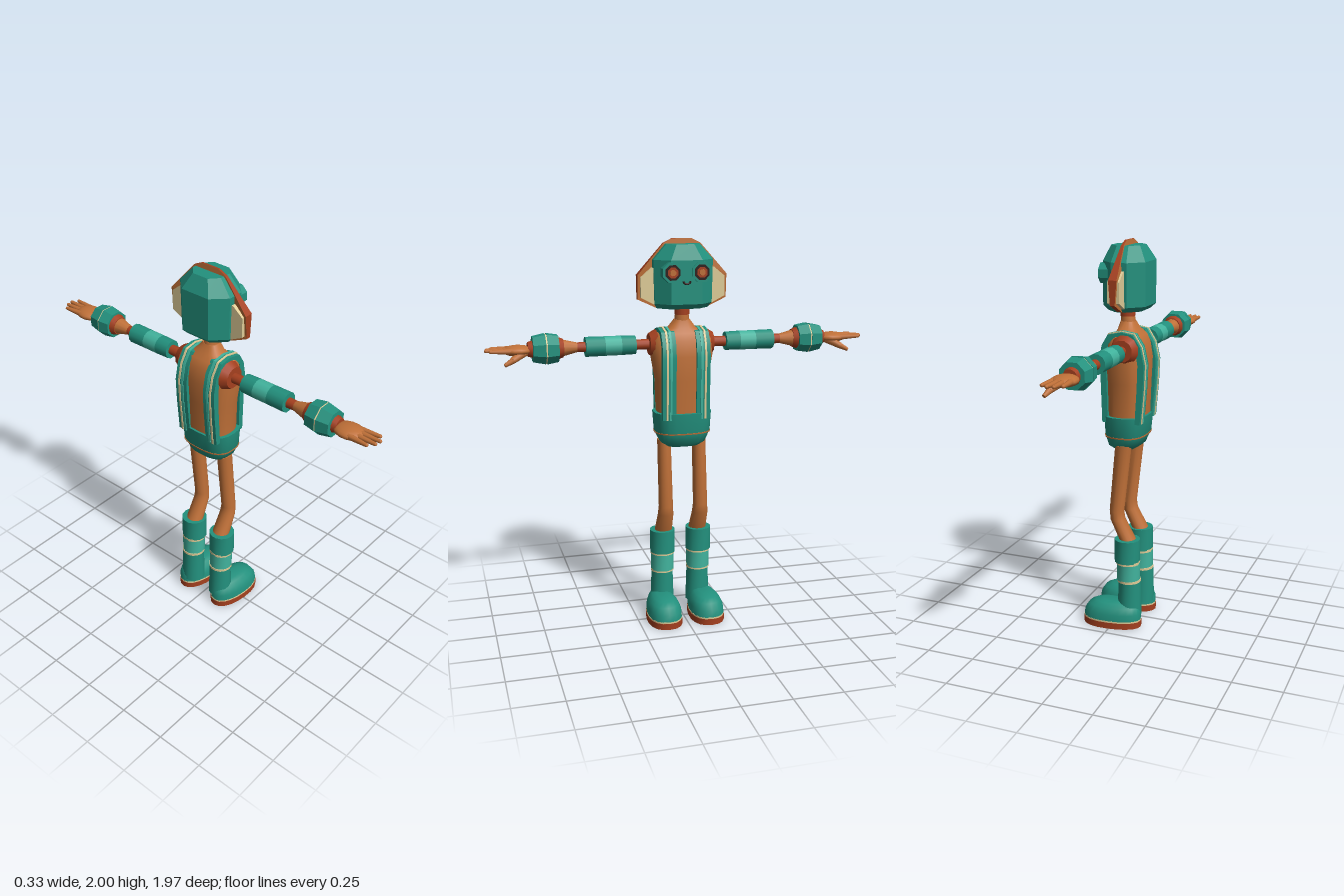
import * as THREE from 'three';
import { toCreasedNormals } from 'three/addons/utils/BufferGeometryUtils.js';

const mat = (name, color) => Object.assign(new THREE.MeshStandardMaterial({ color }), { name });
const V = (x, y, z) => new THREE.Vector3(x, y, z);

// Horizontal superellipse ring; taper widens its front end
function ring(y, cz, rx, rz, { cx = 0, n = 16, p = 2, taper = 0 } = {}) {
  const pts = [];
  for (let i = 0; i < n; i++) {
    const a = (i / n) * Math.PI * 2, c = Math.cos(a), s = Math.sin(a);
    const x = Math.sign(c) * Math.abs(c) ** (2 / p), z = Math.sign(s) * Math.abs(s) ** (2 / p);
    pts.push(V(cx + x * rx * (1 + taper * z), y, cz + z * rz));
  }
  return pts;
}

// Capped skin over a stack of rings, bottom to top
function loft(rings, crease = 0.7) {
  const n = rings[0].length, pos = [], idx = [];
  rings.flat().forEach((v) => pos.push(v.x, v.y, v.z));
  for (let r = 0; r < rings.length - 1; r++) {
    for (let i = 0; i < n; i++) {
      const a = r * n + i, b = r * n + ((i + 1) % n);
      idx.push(a, a + n, b, b, a + n, b + n);
    }
  }
  const last = (rings.length - 1) * n;
  for (let i = 1; i < n - 1; i++) idx.push(0, i, i + 1, last, last + i + 1, last + i);
  const g = new THREE.BufferGeometry();
  g.setAttribute('position', new THREE.Float32BufferAttribute(pos, 3));
  g.setIndex(idx);
  return toCreasedNormals(g, crease);
}

// Tapered rod between two points
function rod(a, b, ra, rb = ra, n = 12) {
  const d = b.clone().sub(a);
  const g = new THREE.CylinderGeometry(rb, ra, d.length(), n);
  g.rotateY(Math.PI / n);
  g.applyQuaternion(new THREE.Quaternion().setFromUnitVectors(V(0, 1, 0), d.clone().normalize()));
  g.translate(...a.clone().add(b).multiplyScalar(0.5).toArray());
  return n <= 8 ? toCreasedNormals(g, 0.1) : g;
}

// Symmetric outline from its right half, listed bottom to top
const outline = (half) => new THREE.Shape([...half, ...half.map(([x, y]) => [-x, y]).reverse()].map((p) => new THREE.Vector2(...p)));

export function createModel() {
  const teal = mat('teal', 0x23917e), mint = mat('light teal', 0x42b49e), skin = mat('copper', 0xbf7038);
  const red = mat('rust red', 0xa5401f), cream = mat('cream', 0xe0cd98), dark = mat('dark brown', 0x2b1d1a);
  const model = new THREE.Group(), body = new THREE.Group();
  model.name = 'figure';
  body.name = 'body';
  body.rotation.y = Math.PI / 2; // built facing +z, turned to face +x
  model.add(body);
  const add = (name, geo, material) => {
    const m = new THREE.Mesh(geo, material);
    m.name = name;
    body.add(m);
    return m;
  };

  // Torso, neck and shorts
  const T = { p: 2.7, n: 24 };
  add('torso', loft([
    ring(1.08, -0.04, 0.13, 0.095, T), ring(1.3, -0.042, 0.137, 0.1, T), ring(1.42, -0.043, 0.158, 0.104, T),
    ring(1.5, -0.043, 0.155, 0.09, T), ring(1.535, -0.042, 0.13, 0.072, T), ring(1.56, -0.038, 0.07, 0.052, T),
    ring(1.6, -0.033, 0.04, 0.036, T),
  ]), skin);
  add('neck', rod(V(0, 1.56, -0.035), V(0, 1.64, -0.03), 0.042, 0.033), skin);
  add('neckRing', rod(V(0, 1.625, -0.03), V(0, 1.69, -0.03), 0.038), red);
  add('shorts', loft([
    ring(0.95, -0.027, 0.085, 0.055, T), ring(0.972, -0.03, 0.118, 0.085, T), ring(1.025, -0.035, 0.143, 0.103, T),
    ring(1.13, -0.037, 0.15, 0.111, T),
  ]), teal);
  add('shortsSeam', loft([ring(1.021, -0.035, 0.145, 0.105, T), ring(1.028, -0.035, 0.146, 0.106, T)]), skin);

  // Braces: a hoop over each shoulder, front to back
  const path = [[0.06, 1.1], [0.067, 1.3], [0.074, 1.42], [0.062, 1.49], [0.03, 1.545], [-0.04, 1.56],
    [-0.1, 1.55], [-0.14, 1.49], [-0.16, 1.4], [-0.155, 1.28], [-0.14, 1.1]];
  const hoop = (grow, x, width) => {
    const at = (k, d) => path.map(([f, y]) => new THREE.Vector2(-0.043 + (f + 0.043) * k + Math.sign(f + 0.043) * d, y + (y > 1.5 ? d : 0)));
    const inner = at(0.72, 0).map((v) => (v.y > 1.5 ? v.setY(v.y - 0.03) : v)).reverse();
    const g = new THREE.ExtrudeGeometry(new THREE.Shape([...at(1, grow), ...inner]), { depth: width, bevelEnabled: false });
    g.rotateY(-Math.PI / 2);
    g.translate(x + width / 2, 0, 0);
    return toCreasedNormals(g, 0.6);
  };

  // Head: two-layer chamfered octagonal helmet
  const octagon = (y, wx, nx, f, b, c) => [[wx, b + c], [wx, f - c], [nx, f], [-nx, f], [-wx, f - c], [-wx, b + c], [-nx, b], [nx, b]]
    .map(([x, z]) => V(x, y, z));
  add('head', loft([
    octagon(1.66, 0.13, 0.07, 0.045, -0.125, 0.06), octagon(1.685, 0.147, 0.078, 0.07, -0.15, 0.07),
    octagon(1.9, 0.152, 0.08, 0.07, -0.15, 0.07), octagon(1.975, 0.085, 0.045, 0.04, -0.11, 0.045),
  ], 0.1), teal);

  // Crest and cheek panels running around the sides of the head
  const crest = new THREE.ExtrudeGeometry(
    outline([[0.135, 1.662], [0.228, 1.705], [0.228, 1.825], [0.095, 1.978], [0.05, 2.0]]), { depth: 2, bevelEnabled: false });
  const cp = crest.attributes.position;
  for (let i = 0; i < cp.count; i++) {
    const half = THREE.MathUtils.mapLinear(cp.getY(i), 1.82, 2.0, 0.022, 0.005);
    cp.setZ(i, -0.038 + (cp.getZ(i) - 1) * Math.min(half, cp.getY(i) < 1.75 ? 0.012 : 0.022));
  }
  crest.computeVertexNormals();
  add('headCrest', crest, [skin, red]);
  for (const z of [-0.068, -0.034]) {
    const g = new THREE.ExtrudeGeometry(outline([[0.13, 1.672], [0.215, 1.715], [0.215, 1.815], [0.16, 1.86]]), { depth: 0.027, bevelEnabled: false });
    g.translate(0, 0, z);
    add('cheekPanels', g, cream);
  }

  // Mouth
  const smile = new THREE.TorusGeometry(0.02, 0.005, 6, 10, Math.PI * 0.8);
  smile.rotateZ(Math.PI * 1.1);
  smile.translate(0, 1.805, 0.07);
  add('mouth', smile, dark);

  for (const s of [1, -1]) {
    const P = (x, y, z) => V(s * x, y, z);

    // Eyes
    [[0.053, 0.078, teal], [0.04, 0.082, dark], [0.028, 0.085, red], [0.016, 0.088, skin]].forEach(([r, z, m], i) =>
      add(['eyeRim', 'eyeSocket', 'iris', 'pupil'][i], rod(P(0.074, 1.842, i ? 0.07 : 0.03), P(0.074, 1.842, z), r, r, 8), m));

    // Braces with piping
    add('brace', hoop(0, s * 0.088, 0.07), teal);
    add('bracePiping', hoop(0.004, s * 0.099, 0.01), cream);
    add('braceStripe', hoop(0.004, s * 0.08, 0.012), mint);

    // Arms: [name, start, end, start radius, end radius, material, sides]
    [
      ['shoulderDisc', 0.13, 0.166, 0.075, 0.055, red], ['shoulderRod', 0.15, 0.25, 0.026, 0.026, red],
      ['upperSleeve', 0.236, 0.31, 0.047, 0.049, teal], ['sleeveBand', 0.31, 0.393, 0.049, 0.049, mint],
      ['lowerSleeve', 0.393, 0.49, 0.049, 0.05, teal], ['elbow', 0.485, 0.535, 0.026, 0.024, red],
      ['forearm', 0.53, 0.61, 0.024, 0.044, skin], ['wristCollar', 0.6, 0.635, 0.046, 0.06, red],
      ['innerCuff', 0.625, 0.683, 0.07, 0.08, teal, 8], ['cuffTrim', 0.68, 0.694, 0.077, 0.077, cream, 8],
      ['outerCuff', 0.69, 0.752, 0.079, 0.066, teal, 8], ['wrist', 0.74, 0.775, 0.046, 0.036, red],
    ].forEach(([name, a, b, ra, rb, m, n]) => add(name, rod(P(a, 1.475, -0.06), P(b, 1.475, -0.06), ra, rb, n), m));

    // Hand
    const palm = new THREE.SphereGeometry(1, 14, 10);
    palm.scale(0.075, 0.027, 0.062);
    palm.translate(s * 0.825, 1.472, -0.06);
    add('palm', palm, skin);
    [[-0.108, 0.955], [-0.077, 0.98], [-0.046, 0.985], [-0.015, 0.965]].forEach(([z, tip]) => {
      const root = P(0.84, 1.474, -0.06 + (z + 0.06) * 0.8), end = P(tip - 0.008, 1.477, z);
      add('finger', rod(root, end, 0.016, 0.009, 9), skin);
      const cap = new THREE.SphereGeometry(0.009, 9, 6);
      add('fingertip', cap.translate(end.x, end.y, end.z), skin);
    });
    add('thumbBase', rod(P(0.79, 1.468, -0.04), P(0.855, 1.432, -0.002), 0.024, 0.016, 9), skin);
    add('thumb', rod(P(0.85, 1.434, -0.004), P(0.893, 1.412, 0.008), 0.016, 0.009, 9), skin);

    // Legs, bent at the knee
    const L = { cx: s * 0.093, n: 14 };
    add('leg', loft([
      ring(0.44, -0.085, 0.048, 0.045, L), ring(0.58, -0.013, 0.042, 0.039, L), ring(0.625, -0.007, 0.038, 0.038, L),
      ring(0.98, -0.043, 0.035, 0.043, L),
    ], 0.9), skin);

    // Boot shaft with bands
    const B = { cx: s * 0.098, n: 14 };
    const band = (name, y0, y1, z, r0, r1, m) => add(name, loft([ring(y0, z, r0, r0, B), ring(y1, z, r1, r1, B)]), m);
    band('bootShaft', 0.06, 0.25, -0.08, 0.064, 0.058, teal);
    band('bootTrim', 0.245, 0.258, -0.077, 0.062, 0.062, cream);
    band('bootBand', 0.254, 0.35, -0.074, 0.061, 0.061, mint);
    band('bootTrim', 0.345, 0.36, -0.071, 0.064, 0.064, cream);
    band('bootTop', 0.356, 0.478, -0.067, 0.067, 0.067, teal);

    // Foot and sole
    const F = { cx: s * 0.115, n: 20, p: 2.3, taper: 0.14 };
    add('sole', loft([ring(0, 0.008, 0.089, 0.157, F), ring(0.033, 0.008, 0.089, 0.157, F)]), red);
    add('soleTrim', loft([ring(0.032, 0.008, 0.088, 0.156, F), ring(0.041, 0.008, 0.088, 0.156, F)]), cream);
    add('foot', loft([
      ring(0.04, 0.008, 0.087, 0.155, F), ring(0.075, 0.006, 0.085, 0.152, F), ring(0.108, 0, 0.072, 0.135, F),
      ring(0.126, -0.005, 0.052, 0.105, F), ring(0.135, -0.01, 0.03, 0.07, F),
    ], 1), teal);
  }
  return model;
}
